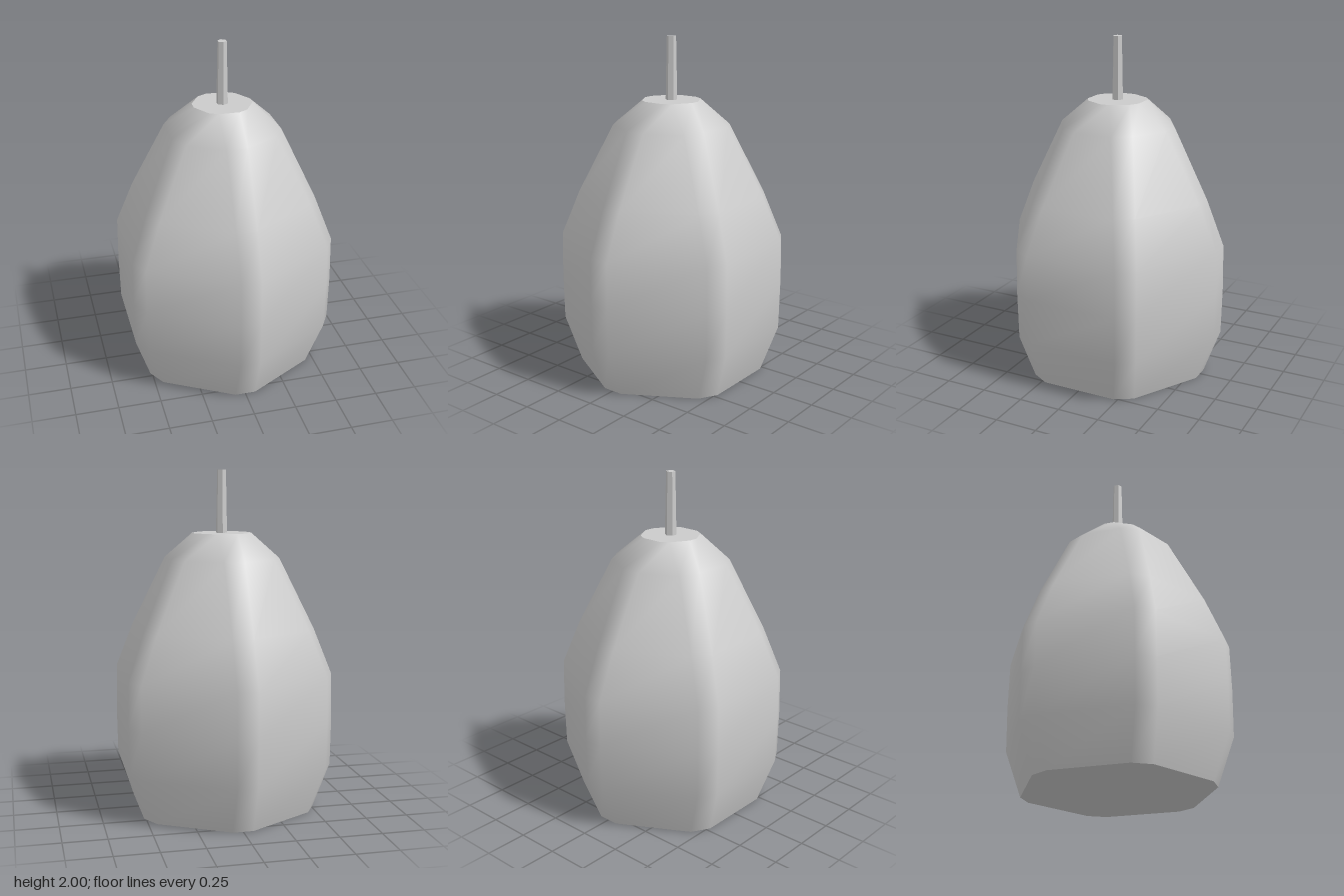
import * as THREE from 'three';

const material = new THREE.MeshStandardMaterial({ color: 0xcccccc });
const CUT = 0.06; // half width of the trimmed corners, equal at every height

// Profile: [height, distance from the axis to a trimmed corner]
const PROFILE = [
  [0, 0.555], [0.275, 0.655], [0.55, 0.66], [0.82, 0.655],
  [1.085, 0.545], [1.49, 0.335], [1.635, 0.163],
];

// Hexagonal section with trimmed corners, as 12 points around the axis
function section(y, reach) {
  const points = [];
  for (let i = 0; i < 6; i++) {
    for (const side of [-CUT, CUT]) {
      points.push(new THREE.Vector3(side, y, reach)
        .applyAxisAngle(new THREE.Vector3(0, 1, 0), i * Math.PI / 3));
    }
  }
  return points;
}

function surface(points, indices) {
  const geometry = new THREE.BufferGeometry().setFromPoints(points);
  geometry.setIndex(indices);
  geometry.computeVertexNormals();
  return geometry;
}

// Smooth side wall joining the sections
function wallGeometry() {
  const points = PROFILE.flatMap(([y, reach]) => section(y, reach));
  const indices = [];
  for (let r = 0; r < PROFILE.length - 1; r++) {
    for (let i = 0; i < 12; i++) {
      const a = r * 12 + i, b = r * 12 + (i + 1) % 12;
      indices.push(a, b, b + 12, a, b + 12, a + 12);
    }
  }
  return surface(points, indices);
}

// Flat end face
function capGeometry([y, reach], up) {
  const indices = [];
  for (let i = 1; i < 11; i++) {
    indices.push(0, ...(up ? [i, i + 1] : [i + 1, i]));
  }
  return surface(section(y, reach), indices);
}

export function createModel() {
  const model = new THREE.Group();
  model.name = 'hangingBell';
  const add = (parent, name, geometry, mat = material) => {
    const mesh = new THREE.Mesh(geometry, mat);
    mesh.name = name;
    parent.add(mesh);
    return mesh;
  };

  // Body
  const body = new THREE.Group();
  body.name = 'body';
  model.add(body);
  add(body, 'sideWall', wallGeometry());
  add(body, 'topFace', capGeometry(PROFILE[PROFILE.length - 1], true));
  add(body, 'bottomFace', capGeometry(PROFILE[0], false));

  // Tapered six-sided stem
  const flat = material.clone();
  flat.flatShading = true;
  const stem = add(model, 'stem', new THREE.CylinderGeometry(0.027, 0.034, 0.375, 6), flat);
  stem.position.y = 2 - 0.375 / 2;

  return model;
}
